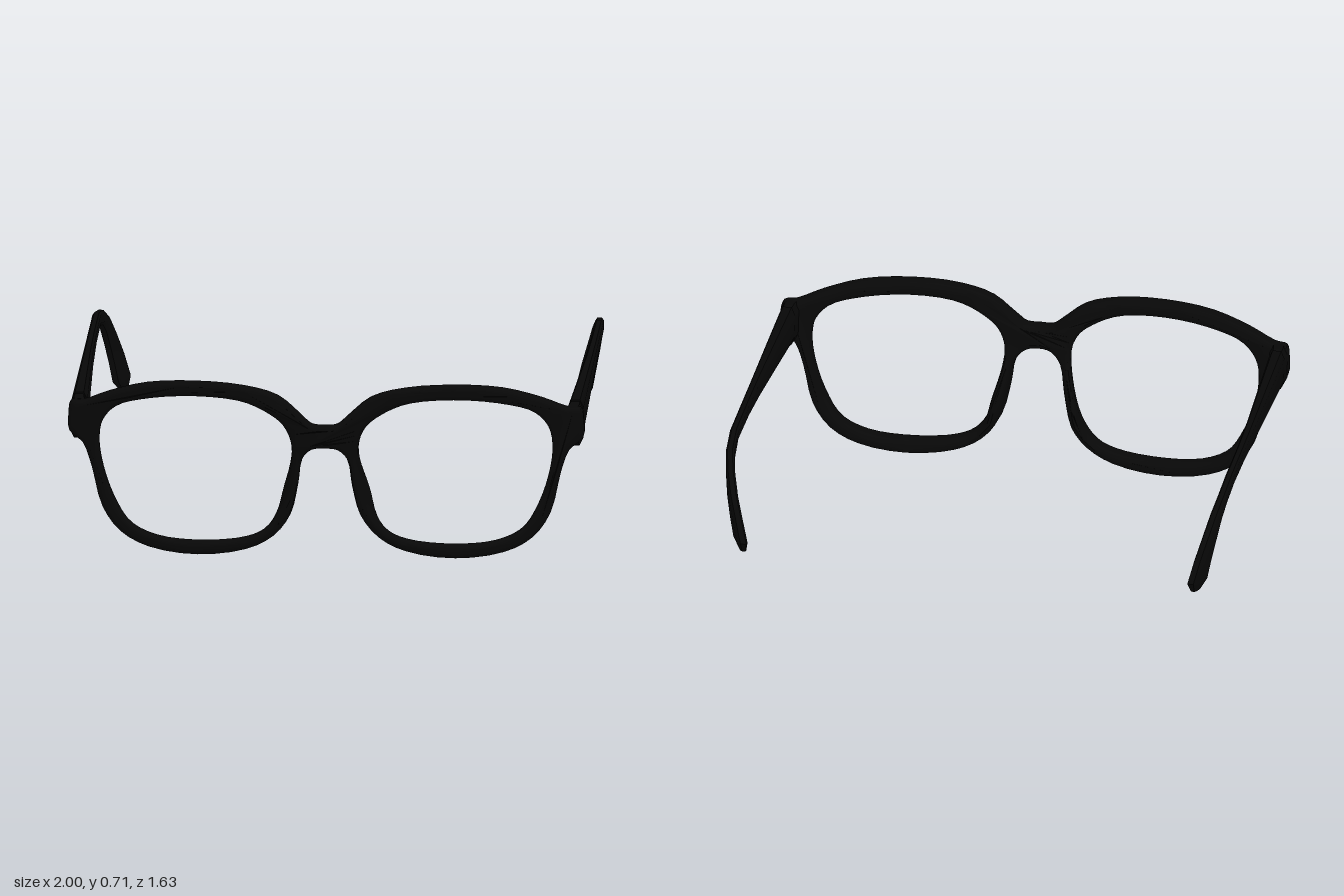
import * as THREE from 'three';
import { toCreasedNormals } from 'three/addons/utils/BufferGeometryUtils.js';

const material = new THREE.MeshStandardMaterial({ color: 0x080808 });

// Smooth closed loop of 2D points through a few control points
function loop(points, count) {
  const curve = new THREE.CatmullRomCurve3(
    points.map(([x, y]) => new THREE.Vector3(x, y, 0)), true, 'centripetal');
  return curve.getPoints(count).slice(0, -1).map(p => new THREE.Vector2(p.x, p.y));
}

// Front frame: one bevelled plate with two lens openings, leaned and wrapped
function frontGeometry() {
  const half = [
    [0.05, 0.552], [0.09, 0.585], [0.18, 0.66], [0.31, 0.697], [0.5, 0.71], [0.69, 0.697],
    [0.84, 0.655], [0.94, 0.615], [0.99, 0.61], [1, 0.56], [0.997, 0.49], [0.945, 0.445],
    [0.91, 0.35], [0.87, 0.19], [0.8, 0.09], [0.69, 0.03], [0.5, 0.003], [0.31, 0.03],
    [0.205, 0.085], [0.13, 0.18], [0.1, 0.3], [0.085, 0.41], [0.05, 0.448],
  ];
  const lens = [
    [0.5, 0.652], [0.32, 0.635], [0.22, 0.59], [0.16, 0.54], [0.13, 0.47], [0.13, 0.38],
    [0.15, 0.27], [0.185, 0.18], [0.24, 0.11], [0.32, 0.075], [0.5, 0.058], [0.66, 0.075],
    [0.76, 0.125], [0.82, 0.22], [0.865, 0.35], [0.88, 0.46], [0.865, 0.54], [0.81, 0.6],
    [0.69, 0.635],
  ];
  const flip = ([x, y]) => [-x, y];
  const outline = [[0, 0.548], ...half.map(flip), [0, 0.455], ...half.toReversed()];
  const shape = new THREE.Shape(loop(outline, 144));
  shape.holes.push(new THREE.Path(loop(lens, 64)), new THREE.Path(loop(lens.map(flip), 64)));

  const bevel = 0.018, thick = 0.062;
  const geo = new THREE.ExtrudeGeometry(shape, {
    depth: thick - 2 * bevel, bevelThickness: bevel, bevelSize: bevel,
    bevelOffset: -bevel, bevelSegments: 3,
  });
  const pos = geo.attributes.position;
  for (let i = 0; i < pos.count; i++) {
    const x = pos.getX(i), y = pos.getY(i), ax = Math.abs(x);
    const back = 1 - (pos.getZ(i) + bevel) / thick;
    // lean forward towards the top, wrap back towards the temples
    const t = Math.max(0, ax - 0.2) / 0.8;
    const face = 0.698 + 0.2 * y - 0.055 * y * y - 0.09 * t * t * (0.5 + 0.8 * y);
    // nose pads swell out of the back of the inner rims
    const pad = back * Math.exp(-(((y - 0.26) / 0.13) ** 2) - ((ax - 0.13) / 0.07) ** 2);
    const bridge = 0.028 * Math.exp(-((ax / 0.1) ** 2));
    pos.setX(i, x + Math.sign(x) * 0.025 * pad);
    pos.setZ(i, face + bridge - back * thick - 0.062 * pad);
  }
  return toCreasedNormals(geo, 0.7);
}

// Loft of chamfered rectangles; each section is [x, y, z, width, height, inward slant]
function loft(sections, side) {
  const profile = [[1, 0.6], [0.55, 1], [-0.55, 1], [-1, 0.6], [-1, -0.6], [-0.55, -1], [0.55, -1], [1, -0.6]];
  const n = profile.length, verts = [], index = [];
  sections.forEach(([x, y, z, w, h, slant = 0], i) => {
    const a = sections[Math.max(0, i - 1)], b = sections[Math.min(sections.length - 1, i + 1)];
    // height direction is perpendicular to the path in the side plane
    const dy = b[1] - a[1], dz = b[2] - a[2], len = Math.hypot(dy, dz);
    for (const [u, v] of profile) {
      verts.push(side * (x + u * w / 2 - v * slant), y - v * h / 2 * dz / len, z + v * h / 2 * dy / len);
    }
  });
  const tri = (a, b, c) => index.push(...(side > 0 ? [a, b, c] : [a, c, b]));
  for (let i = 0; i < sections.length - 1; i++) {
    for (let j = 0; j < n; j++) {
      const a = i * n + j, b = i * n + (j + 1) % n;
      tri(a, a + n, b);
      tri(b, a + n, b + n);
    }
  }
  const last = (sections.length - 1) * n;
  for (let j = 1; j < n - 1; j++) {
    tri(0, j, j + 1);
    tri(last, last + j + 1, last + j);
  }
  const geo = new THREE.BufferGeometry();
  geo.setAttribute('position', new THREE.Float32BufferAttribute(verts, 3));
  geo.setIndex(index);
  return toCreasedNormals(geo, 0.6);
}

export function createModel() {
  const group = new THREE.Group();
  group.name = 'eyeglasses';
  const add = (name, geo) => {
    const mesh = new THREE.Mesh(geo, material);
    mesh.name = name;
    group.add(mesh);
  };

  add('frontFrame', frontGeometry());

  // Hinge block behind each outer corner
  const hinge = [
    [0.957, 0.54, 0.69, 0.07, 0.15],
    [0.962, 0.536, 0.655, 0.07, 0.165],
    [0.963, 0.541, 0.608, 0.06, 0.158],
  ];
  // Temple arm: tapers back, then hooks down and inward behind the ear
  const temple = [
    [0.963, 0.548, 0.603, 0.062, 0.155],
    [0.968, 0.585, 0.3, 0.05, 0.122],
    [0.973, 0.62, 0, 0.038, 0.09],
    [0.975, 0.65, -0.25, 0.033, 0.065],
    [0.975, 0.672, -0.48, 0.033, 0.054],
    [0.968, 0.652, -0.605, 0.034, 0.058],
    [0.955, 0.61, -0.672, 0.036, 0.066, 0.004],
    [0.938, 0.54, -0.722, 0.038, 0.074, 0.01],
    [0.918, 0.46, -0.752, 0.04, 0.082, 0.016],
    [0.899, 0.375, -0.768, 0.042, 0.092, 0.02],
    [0.891, 0.332, -0.768, 0.024, 0.035, 0.008],
  ];
  for (const [side, label] of [[1, 'left'], [-1, 'right']]) {
    add(label + 'Hinge', loft(hinge, side));
    add(label + 'Temple', loft(temple, side));
  }
  return group;
}
